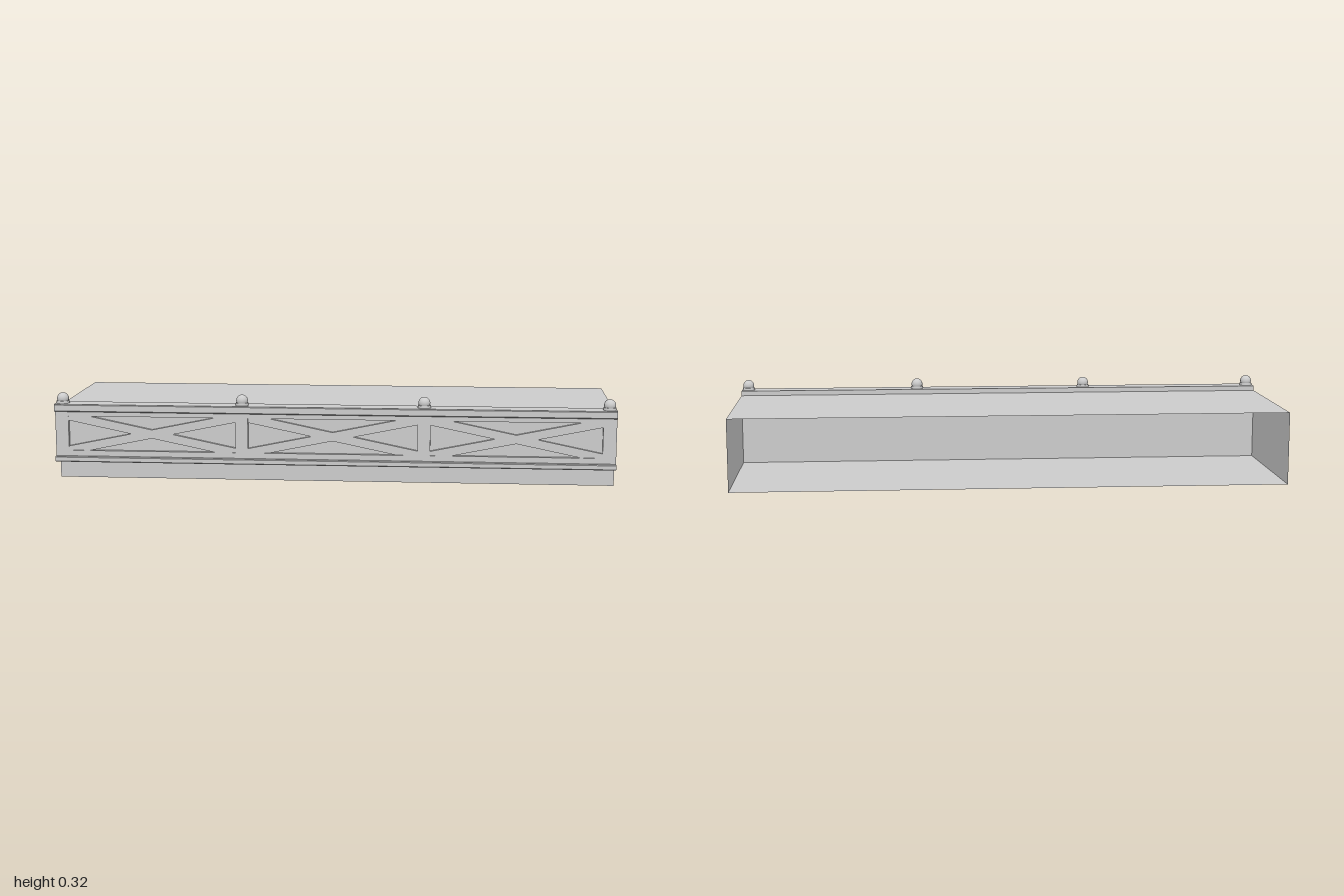
import * as THREE from 'three';

const material = new THREE.MeshStandardMaterial({ color: 0xcccccc, side: THREE.DoubleSide });

const toShape = (points) => new THREE.Shape(points.map(([x, y]) => new THREE.Vector2(x, y)));

const extrude = (shape, depth) =>
  new THREE.ExtrudeGeometry(shape, { depth, bevelEnabled: false });

export function createModel() {
  const model = new THREE.Group();
  const add = (name, geometry, x = 0, y = 0, z = 0) => {
    const mesh = new THREE.Mesh(geometry, material);
    mesh.name = name;
    mesh.position.set(x, y, z);
    model.add(mesh);
    return mesh;
  };

  // Hollow deck shell, open at the back
  const back = -0.315, front = 0.245, deckTop = 0.262;
  const depth = front - back, midZ = (front + back) / 2;
  add('deckTop', new THREE.PlaneGeometry(2, depth).rotateX(-Math.PI / 2), 0, deckTop, midZ);
  add('deckBottom', new THREE.PlaneGeometry(2, depth).rotateX(Math.PI / 2), 0, 0, midZ);
  add('deckFront', new THREE.PlaneGeometry(2, deckTop), 0, deckTop / 2, front);
  for (const side of [-1, 1]) {
    add(side > 0 ? 'leftEnd' : 'rightEnd',
      new THREE.PlaneGeometry(depth, deckTop).rotateY(side * Math.PI / 2), side, deckTop / 2, midZ);
  }

  // Parapet: lower ledge, recessed wall and coping as one profile along x
  const lip = 0.315, wall = 0.286, c = 0.003;
  const ledge = (y0, y1) => [[lip - c, y0], [lip, y0 + c], [lip, y1 - c], [lip - c, y1]];
  const profile = toShape([
    [front, 0.07], ...ledge(0.07, 0.09), [wall, 0.09],
    [wall, 0.253], ...ledge(0.253, 0.28), [front, 0.28],
  ]);
  add('parapet', extrude(profile, 2).rotateY(-Math.PI / 2), 1);

  // Frame with three openings, leaving a post beneath each finial
  const w = 0.3025, h = 0.0625, midY = 0.1725, centres = [-0.65, 0, 0.65];
  const frame = toShape([[-1, 0.09], [1, 0.09], [1, 0.253], [-1, 0.253]]);
  for (const x of centres) {
    frame.holes.push(toShape([
      [x - w, midY - h], [x - w, midY + h], [x + w, midY + h], [x + w, midY - h],
    ]));
  }
  add('panelFrame', extrude(frame, 0.3 - wall), 0, 0, wall);

  // Crossed braces filling each opening, set slightly behind the frame
  const gx = 0.075, gy = 0.0156;
  const cross = extrude(toShape([
    [-w, h], [-w + gx, h], [0, gy], [w - gx, h], [w, h], [w, h - gy], [gx, 0], [w, gy - h],
    [w, -h], [w - gx, -h], [0, -gy], [gx - w, -h], [-w, -h], [-w, gy - h], [-gx, 0], [-w, h - gy],
  ]), 0.297 - wall);
  for (const x of centres) add('crossBrace', cross, x, midY, wall);

  // Ball finials on small round bases
  const ball = new THREE.SphereGeometry(0.021, 24, 16);
  const base = new THREE.CylinderGeometry(0.0225, 0.0235, 0.009, 24);
  for (const x of [-0.975, -0.325, 0.325, 0.975]) {
    add('finialBase', base, x, 0.2845, 0.279);
    add('finialBall', ball, x, 0.297, 0.279);
  }

  return model;
}
